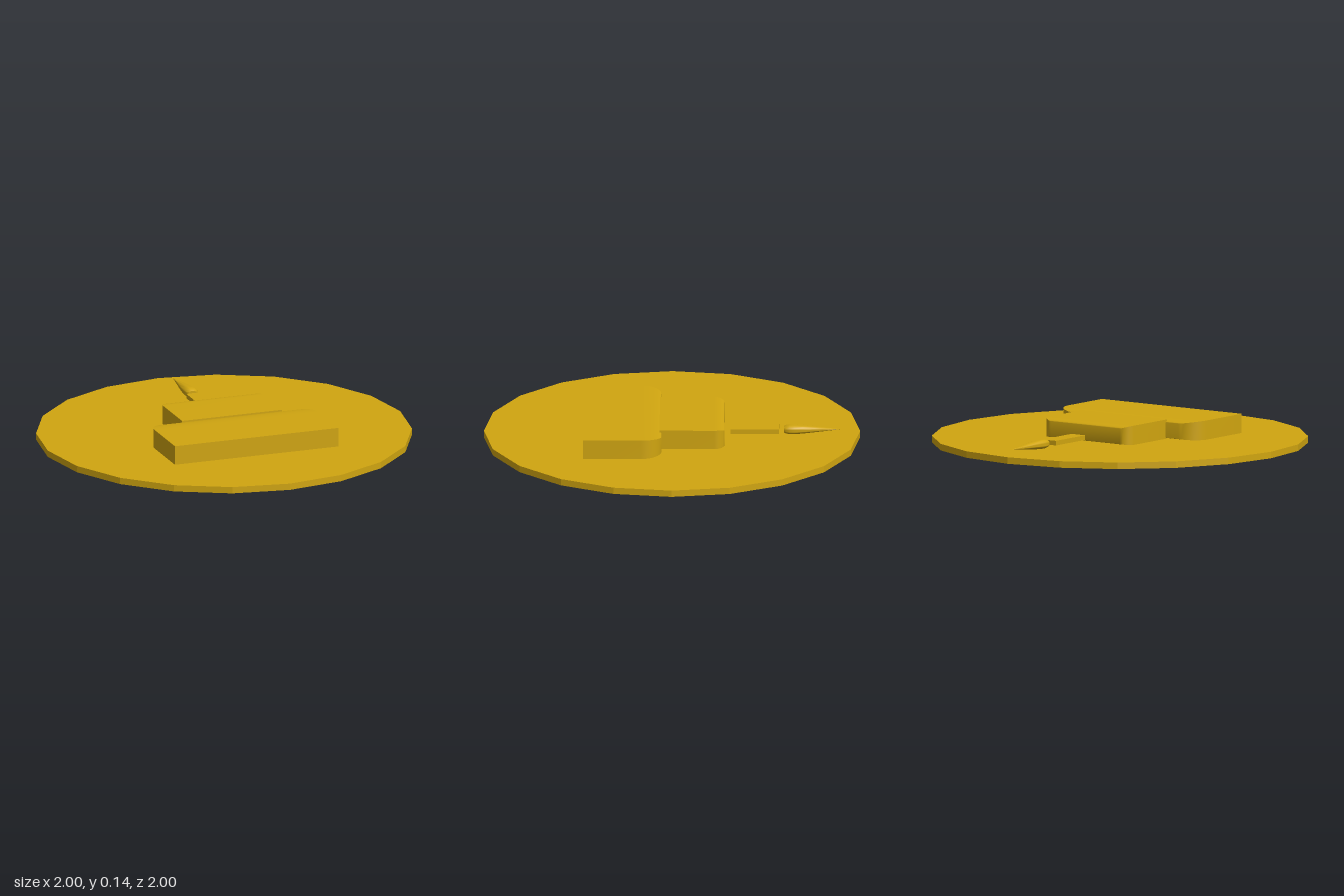
import * as THREE from 'three';
import { toCreasedNormals } from 'three/addons/utils/BufferGeometryUtils.js';

const DISC_TOP = 0.035;

export function createModel() {
  const group = new THREE.Group();
  const gold = new THREE.MeshStandardMaterial({ color: 0xd0a510 });

  const add = (name, geometry, x = 0, y = 0, z = 0) => {
    const mesh = new THREE.Mesh(geometry, gold);
    mesh.name = name;
    mesh.position.set(x, y, z);
    group.add(mesh);
  };

  // Block with a square front and rounded back corners; its back rim is softened above and below
  const tier = (x0, x1, zBack, zFront, yTop, radius) => {
    const n = 11;
    const geometry = new THREE.BoxGeometry(1, 1, 1, 1, 1, n);
    const p = geometry.attributes.position;
    const mid = (x0 + x1) / 2, half = (x1 - x0) / 2;
    for (let i = 0; i < p.count; i++) {
      const row = Math.round((0.5 - p.getZ(i)) * n);
      const t = Math.max(0, row - 1) / (n - 1) * Math.PI / 2;
      const fall = 1 - Math.cos(t);
      const z = row === 0 ? zFront : zBack + radius * (1 - Math.sin(t));
      const y = p.getY(i) > 0 ? yTop - 0.015 * fall : DISC_TOP + 0.006 * fall;
      p.setXYZ(i, mid + Math.sign(p.getX(i)) * (half - radius * fall), y, z);
    }
    return toCreasedNormals(geometry, 0.7);
  };

  // Twenty-sided base with a corner at the very front and back
  const disc = new THREE.CylinderGeometry(1, 1, DISC_TOP, 20);
  add('baseDisc', toCreasedNormals(disc, 0.2), 0, DISC_TOP / 2, 0);

  // Cake tiers lying flat on the disc
  add('lowerTier', tier(-0.455, 0.472, 0.055, 0.472, 0.138, 0.11));
  add('upperTier', tier(-0.262, 0.305, -0.28, 0.065, 0.138, 0.055));

  // Candle
  add('candle', new THREE.BoxGeometry(0.09, 0.025, 0.26), 0.045, 0.061, -0.44);

  // Teardrop flame pointing to the back
  const profile = [
    [0, 0], [0.024, 0], [0.032, 0.01], [0.037, 0.03], [0.037, 0.055],
    [0.032, 0.1], [0.023, 0.16], [0.012, 0.23], [0, 0.302],
  ].map(([r, y]) => new THREE.Vector2(r, y));
  const flame = new THREE.LatheGeometry(profile, 24);
  flame.rotateX(-Math.PI / 2);
  flame.scale(1, 0.7, 1);
  add('flame', toCreasedNormals(flame, 0.8), 0.046, 0.061, -0.596);

  return group;
}
